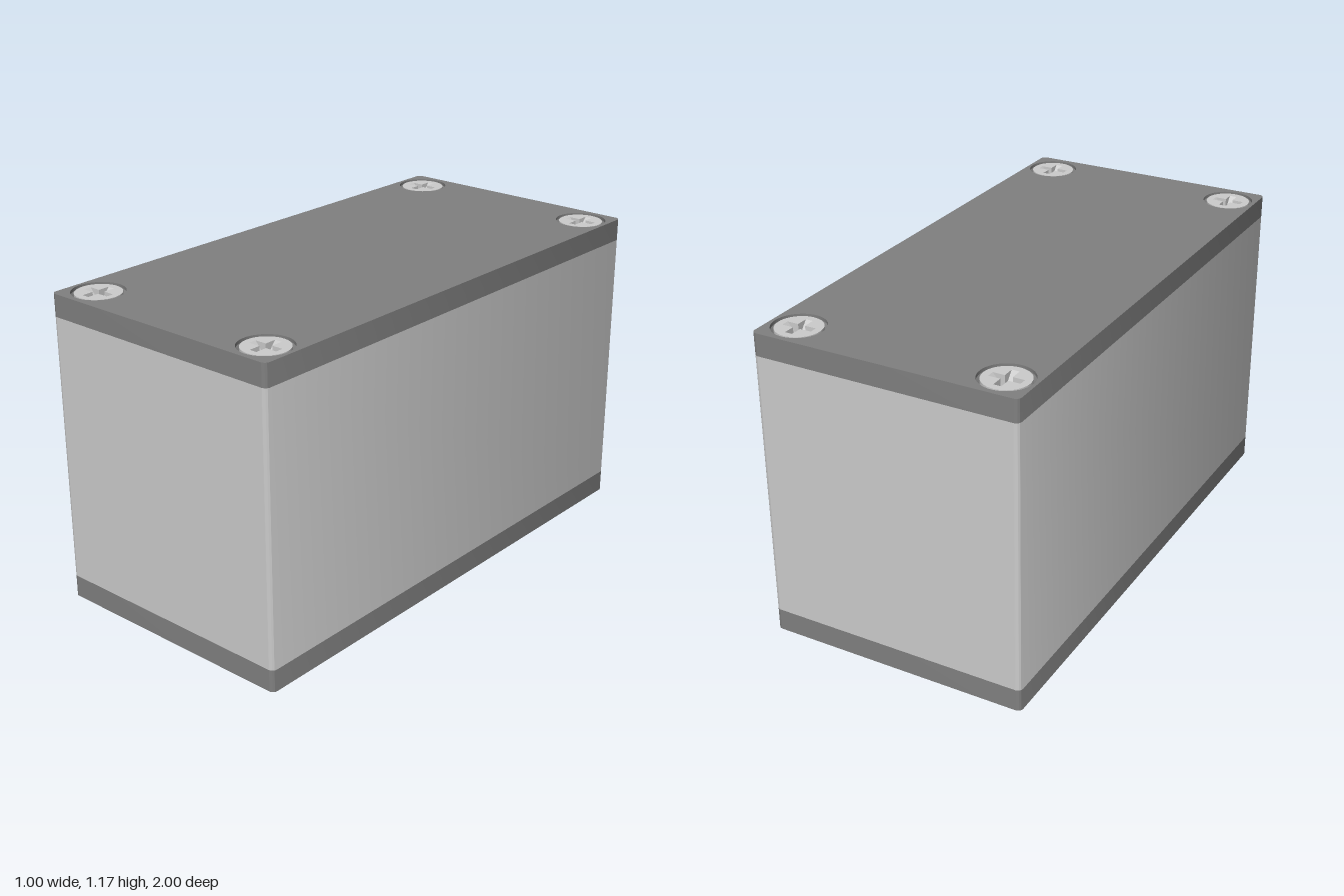
import * as THREE from 'three';
import { toCreasedNormals } from 'three/addons/utils/BufferGeometryUtils.js';

const W = 0.995, D = 2, H = 1.167, PLATE = 0.083, CORNER = 0.02;
const SCREW_X = 0.39, SCREW_Z = 0.885;
const HOLE_R = 0.095, HEAD_R = 0.083, HEAD_H = 0.06;
const ARM = 0.057, HALF = 0.014, DEPTH = 0.05;

const grey = new THREE.MeshStandardMaterial({ color: 0xcccccc });
const dark = new THREE.MeshStandardMaterial({ color: 0x808080 });
const darkOpen = new THREE.MeshStandardMaterial({ color: 0x808080, side: THREE.DoubleSide });
const greyOpen = new THREE.MeshStandardMaterial({ color: 0xcccccc, side: THREE.DoubleSide });

function roundedRect(w, d, r) {
  const x = w / 2, y = d / 2, s = new THREE.Shape();
  s.absarc(x - r, y - r, r, 0, Math.PI / 2);
  s.absarc(-x + r, y - r, r, Math.PI / 2, Math.PI);
  s.absarc(-x + r, -y + r, r, Math.PI, Math.PI * 1.5);
  s.absarc(x - r, -y + r, r, Math.PI * 1.5, Math.PI * 2);
  s.closePath();
  return s;
}

// Extrude a plan outline upwards from y = 0
function extrudeUp(shape, height) {
  const g = new THREE.ExtrudeGeometry(shape, { depth: height, bevelEnabled: false, curveSegments: 24 });
  return toCreasedNormals(g.rotateX(-Math.PI / 2), 0.6);
}

function addMesh(parent, name, geometry, material, y = 0) {
  const mesh = new THREE.Mesh(geometry, material);
  mesh.name = name;
  mesh.position.y = y;
  parent.add(mesh);
  return mesh;
}

function crossPath() {
  const a = ARM, h = HALF;
  return new THREE.Path([[h, h], [h, a], [-h, a], [-h, h], [-a, h], [-a, -h], [-h, -h], [-h, -a],
    [h, -a], [h, -h], [a, -h], [a, h]].map(([x, y]) => new THREE.Vector2(x, y)));
}

// Cross recess: four sloping arms that run down to a small square floor
function recessGeometry() {
  const pos = [];
  const tri = (...pts) => pts.forEach(p => pos.push(p.x, p.y, p.z));
  const up = new THREE.Vector3(0, 1, 0);
  for (let i = 0; i < 4; i++) {
    const p = (x, y, z) => new THREE.Vector3(x, y, z).applyAxisAngle(up, i * Math.PI / 2);
    const o1 = p(ARM, 0, HALF), o2 = p(ARM, 0, -HALF);
    const b1 = p(HALF, -DEPTH, HALF), b2 = p(HALF, -DEPTH, -HALF);
    tri(o1, o2, b2);
    tri(o1, b2, b1);
    tri(o1, b1, p(HALF, 0, HALF));
    tri(o2, p(HALF, 0, -HALF), b2);
    tri(p(0, -DEPTH, 0), b1, b2);
  }
  const g = new THREE.BufferGeometry();
  g.setAttribute('position', new THREE.Float32BufferAttribute(pos, 3));
  g.computeVertexNormals();
  return g;
}

// Origin of the screw is the outer face of the plate
function createScrew() {
  const screw = new THREE.Group();
  screw.name = 'screw';
  const outline = new THREE.Shape().absarc(0, 0, HEAD_R, 0, Math.PI * 2);
  outline.holes.push(crossPath());
  addMesh(screw, 'screwHead', extrudeUp(outline, HEAD_H), grey, -HEAD_H - 0.003);
  addMesh(screw, 'screwRecess', recessGeometry(), greyOpen, -0.003);
  const seat = [[HEAD_R - 0.002, -0.025], [HOLE_R, -0.012], [HOLE_R, 0]];
  addMesh(screw, 'screwSeat', toCreasedNormals(
    new THREE.LatheGeometry(seat.map(([r, y]) => new THREE.Vector2(r, y)), 48), 0.6), darkOpen);
  return screw;
}

// Cover plate with its outer face up
function createCover(name) {
  const cover = new THREE.Group();
  cover.name = name;
  const outline = roundedRect(W, D, CORNER);
  for (const x of [-SCREW_X, SCREW_X]) {
    for (const z of [-SCREW_Z, SCREW_Z]) {
      outline.holes.push(new THREE.Path().absarc(x, z, HOLE_R, 0, Math.PI * 2, true));
      const screw = createScrew();
      screw.position.set(x, PLATE, z);
      cover.add(screw);
    }
  }
  addMesh(cover, 'coverPlate', extrudeUp(outline, PLATE), dark);
  return cover;
}

export function createModel() {
  const model = new THREE.Group();
  model.name = 'enclosure';

  addMesh(model, 'body', extrudeUp(roundedRect(W, D, CORNER), H - 2 * PLATE), grey, PLATE);

  const top = createCover('topCover');
  top.position.y = H - PLATE;
  model.add(top);

  const bottom = createCover('bottomCover');
  bottom.rotation.x = Math.PI;
  bottom.position.y = PLATE;
  model.add(bottom);

  return model;
}
